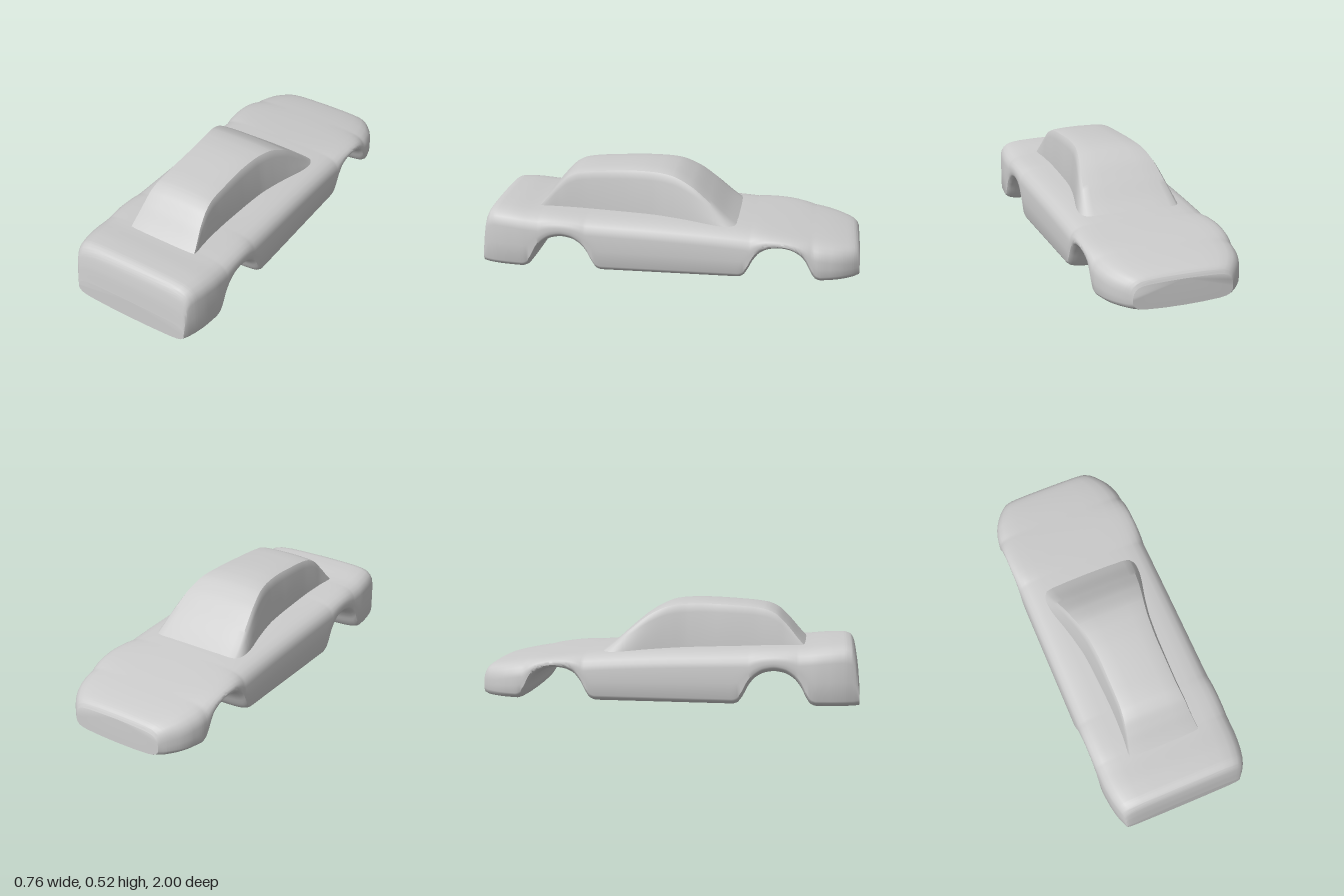
import * as THREE from 'three';
import { toCreasedNormals } from 'three/addons/utils/BufferGeometryUtils.js';

// Smooth interpolation without overshoot through [z, value] pairs (z ascending)
function profile(pts) {
  const n = pts.length;
  const slope = i => (pts[i + 1][1] - pts[i][1]) / (pts[i + 1][0] - pts[i][0]);
  const tangent = pts.map((_, i) => {
    if (i === 0) return slope(0);
    if (i === n - 1) return slope(n - 2);
    const a = slope(i - 1), b = slope(i);
    return a * b <= 0 ? 0 : (2 * a * b) / (a + b);
  });
  return z => {
    let i = 0;
    while (i < n - 2 && z > pts[i + 1][0]) i++;
    const h = pts[i + 1][0] - pts[i][0];
    const s = THREE.MathUtils.clamp((z - pts[i][0]) / h, 0, 1);
    const s2 = s * s, s3 = s2 * s;
    return (2 * s3 - 3 * s2 + 1) * pts[i][1] + (s3 - 2 * s2 + s) * h * tangent[i]
      + (3 * s2 - 2 * s3) * pts[i + 1][1] + (s3 - s2) * h * tangent[i + 1];
  };
}

// Closed loft along z; section(z) gives a half outline from top centre to bottom centre
function loft(stations, section, crease) {
  const pos = [], index = [];
  let n = 0;
  for (const z of stations) {
    const half = section(z);
    const mirrored = half.slice(1, -1).reverse().map(([x, y]) => [-x, y]);
    const ring = [...half, ...mirrored];
    n = ring.length;
    for (const [x, y] of ring) pos.push(x, y, z);
  }
  const last = (stations.length - 1) * n;
  for (let i = 0; i < stations.length - 1; i++) {
    for (let j = 0; j < n; j++) {
      const a = i * n + j, b = i * n + (j + 1) % n;
      index.push(a, a + n, b, b, a + n, b + n);
    }
  }
  for (let j = 1; j < n - 1; j++) {
    index.push(0, j, j + 1, last, last + j + 1, last + j);
  }
  const geo = new THREE.BufferGeometry();
  geo.setAttribute('position', new THREE.Float32BufferAttribute(pos, 3));
  geo.setIndex(index);
  return toCreasedNormals(geo, crease);
}

// Body: upper line, underside with both wheel arches, and half width along z
const bodyTop = profile([
  [-1, 0.14], [-0.99, 0.16], [-0.97, 0.175], [-0.92, 0.19], [-0.8, 0.213], [-0.6, 0.24],
  [-0.35, 0.264], [0, 0.283], [0.4, 0.297], [0.72, 0.312], [0.86, 0.325], [0.92, 0.327],
  [0.955, 0.318], [0.975, 0.29], [0.99, 0.22], [1, 0.115],
]);
const archRise = [
  [-0.215, 0], [-0.19, 0.008], [-0.165, 0.04], [-0.14, 0.09], [-0.1, 0.14], [-0.05, 0.168], [0, 0.176],
  [0.05, 0.168], [0.1, 0.14], [0.14, 0.09], [0.165, 0.04], [0.19, 0.008], [0.215, 0],
];
const archAt = c => archRise.map(([z, y]) => [c + z, y]);
const bodyBottom = profile([[-1, 0.004], [-0.97, 0], ...archAt(-0.585), ...archAt(0.565), [0.97, 0], [1, 0.003]]);
const bodyWidth = profile([
  [-1, 0.26], [-0.96, 0.3], [-0.9, 0.342], [-0.85, 0.363], [-0.78, 0.378], [-0.7, 0.38],
  [0.76, 0.38], [0.85, 0.373], [0.92, 0.36], [0.97, 0.343], [1, 0.33],
]);

function bodySection(z) {
  const t = bodyTop(z), b = bodyBottom(z), w = bodyWidth(z);
  const drop = Math.min(0.085, 0.45 * (t - b));
  const rise = Math.min(0.045, 0.4 * (t - b));
  return [
    [0, t], [0.4 * w, t - 0.02 * drop], [0.65 * w, t - 0.06 * drop], [0.8 * w, t - 0.13 * drop],
    [0.89 * w, t - 0.25 * drop], [0.95 * w, t - 0.45 * drop], [0.985 * w, t - 0.7 * drop], [w, t - drop],
    [w, (t - drop + b + rise) / 2], [w, b + rise], [0.985 * w, b + 0.75 * rise], [0.94 * w, b + 0.45 * rise],
    [0.87 * w, b + 0.28 * rise], [0.75 * w, b + 0.16 * rise], [0.4 * w, b + 0.04 * rise], [0, b],
  ];
}

// Cabin: roof line, half width of the roof strip, half width at the base
const roofLine = profile([
  [-0.38, 0.245], [-0.35, 0.266], [-0.3, 0.304], [-0.2, 0.392], [-0.1, 0.467], [0, 0.51], [0.08, 0.521],
  [0.16, 0.524], [0.4, 0.513], [0.5, 0.501], [0.56, 0.477], [0.62, 0.422], [0.68, 0.352], [0.715, 0.314], [0.745, 0.285],
]);
const roofWidth = profile([
  [-0.38, 0.252], [-0.3, 0.243], [-0.2, 0.225], [-0.1, 0.205], [0, 0.183], [0.1, 0.167],
  [0.25, 0.158], [0.45, 0.158], [0.6, 0.172], [0.7, 0.194], [0.745, 0.202],
]);
const baseWidth = profile([
  [-0.38, 0.293], [-0.3, 0.287], [-0.2, 0.267], [-0.1, 0.24], [0, 0.217], [0.1, 0.2],
  [0.25, 0.19], [0.45, 0.184], [0.6, 0.189], [0.7, 0.203], [0.745, 0.208],
]);

function cabinSection(z) {
  const r = roofLine(z), iw = roofWidth(z), ow = baseWidth(z);
  const base = bodyTop(z) - 0.06, g = ow - iw, h = r - base;
  return [
    [0, r], [0.5 * iw, r - 0.002], [0.85 * iw, r - 0.006], [iw, r - 0.012],
    [iw + 0.25 * g, r - 0.02 - 0.02 * h], [iw + 0.45 * g, r - 0.02 - 0.12 * h],
    [iw + 0.7 * g, base + 0.5 * h], [iw + 0.9 * g, base + 0.32 * h], [ow, base], [0, base],
  ];
}

export function createModel() {
  const model = new THREE.Group();
  const paint = new THREE.MeshStandardMaterial({ color: 0xcccccc });
  paint.name = 'light grey paint';

  // Stations gather towards the two ends
  const bodyStations = Array.from({ length: 301 }, (_, i) => Math.sin((i / 150 - 1) * Math.PI / 2));
  const body = new THREE.Mesh(loft(bodyStations, bodySection, 0.7), paint);
  body.name = 'body';

  const cabinStations = Array.from({ length: 121 }, (_, i) => -0.38 + 1.125 * i / 120);
  const cabin = new THREE.Mesh(loft(cabinStations, cabinSection, 0.6), paint);
  cabin.name = 'cabin';

  model.add(body, cabin);
  return model;
}
